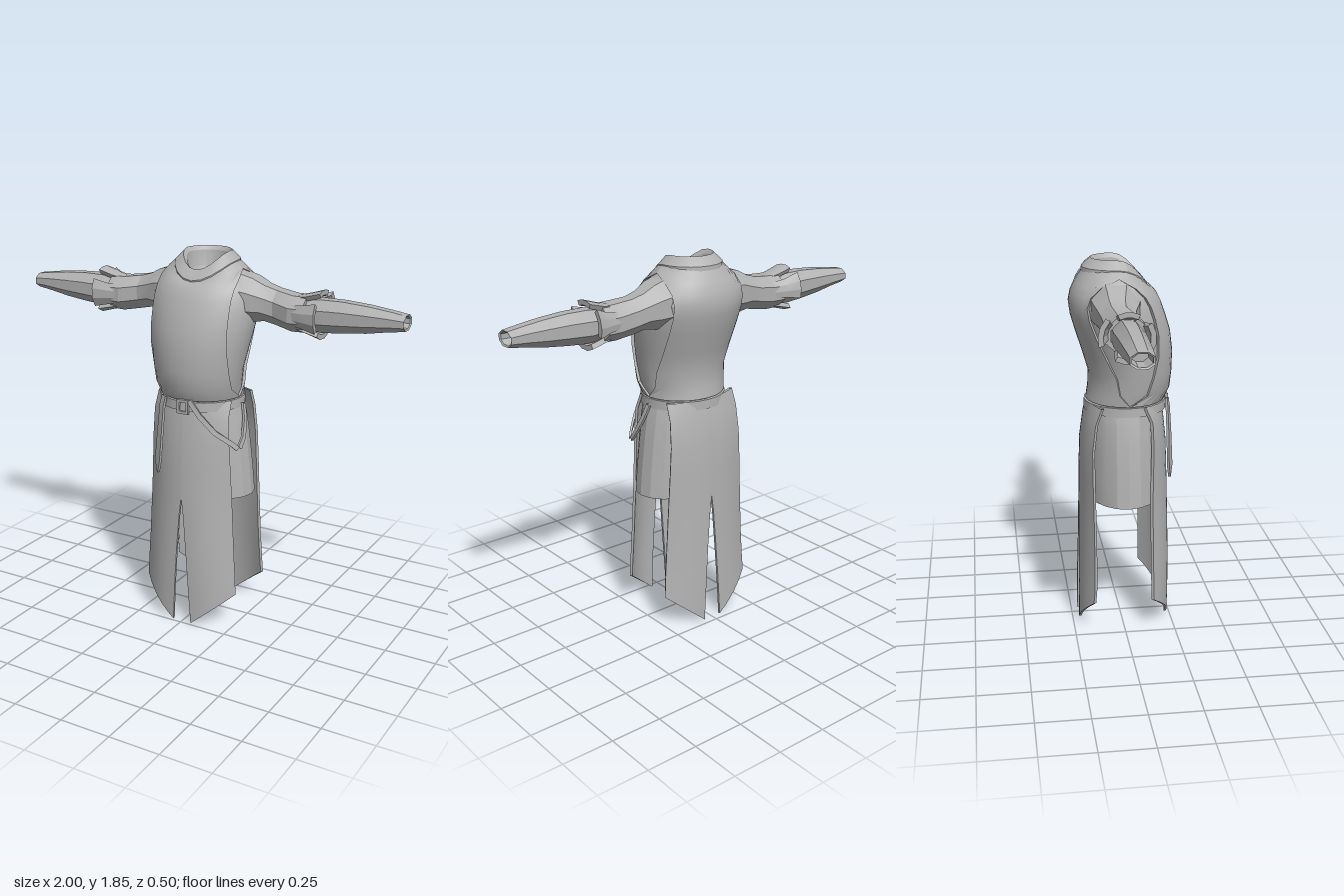
import * as THREE from 'three';
import { toCreasedNormals } from 'three/addons/utils/BufferGeometryUtils.js';

const cloth = new THREE.MeshStandardMaterial({ color: 0xb2b2b2, side: THREE.DoubleSide });
cloth.name = 'grey cloth';
const V = (x, y, z) => new THREE.Vector3(x, y, z);
const lerp = THREE.MathUtils.lerp;

// Skin a list of closed rings that all have the same number of points
function loft(name, rings, crease = 0.5) {
  const n = rings[0].length, pos = [], idx = [];
  rings.forEach(r => r.forEach(p => pos.push(p.x, p.y, p.z)));
  for (let i = 0; i < rings.length - 1; i++) {
    for (let j = 0; j < n; j++) {
      const a = i * n + j, b = i * n + (j + 1) % n;
      idx.push(a, b, b + n, a, b + n, a + n);
    }
  }
  const g = new THREE.BufferGeometry();
  g.setAttribute('position', new THREE.Float32BufferAttribute(pos, 3));
  g.setIndex(idx);
  const mesh = new THREE.Mesh(toCreasedNormals(g, crease), cloth);
  mesh.name = name;
  return mesh;
}

// Point on a horizontal section [y, halfWidth, zFront, zBack, frontDip]
function onSection([y, w, zf, zb, dip = 0], t, off = 0) {
  const c = Math.cos(t);
  return V((w + off) * Math.sin(t), y - dip * Math.max(0, c) ** 2,
    (zf + zb) / 2 + ((zf - zb) / 2 + off) * c);
}
const sectionRing = (s, n, off = 0) =>
  Array.from({ length: n }, (_, i) => onSection(s, i / n * Math.PI * 2, off));

// Flat strap along a path, its face turned away from the body's axis
function strap(name, path, widths, thick = 0.012) {
  return loft(name, path.map((p, i) => {
    const tan = path[Math.min(i + 1, path.length - 1)].clone().sub(path[Math.max(i - 1, 0)]).normalize();
    const out = V(p.x, 0, p.z).normalize();
    const side = tan.cross(out).normalize();
    const w = (widths[i] ?? widths[0]) / 2;
    return [[-w, 0], [w, 0], [w, thick], [-w, thick]].map(([a, b]) =>
      p.clone().addScaledVector(side, a).addScaledVector(out, b));
  }));
}

const torso = [
  [1.165, 0.2, 0.21, -0.16], [1.22, 0.212, 0.235, -0.15], [1.3, 0.222, 0.243, -0.146],
  [1.4, 0.243, 0.245, -0.175], [1.5, 0.262, 0.232, -0.207], [1.58, 0.272, 0.207, -0.23],
  [1.64, 0.272, 0.185, -0.238], [1.69, 0.255, 0.165, -0.228, 0.01], [1.735, 0.222, 0.148, -0.208, 0.035],
  [1.77, 0.182, 0.135, -0.185, 0.06], [1.8, 0.148, 0.12, -0.165, 0.085],
];

// Front or back half of the tabard: a thin shell wrapped on the torso
function tabard(name, centre) {
  return loft(name, torso.map(s => {
    const a = s[1] <= 0.2 ? Math.PI / 2 : Math.asin(0.2 / s[1]);
    const row = off => Array.from({ length: 13 }, (_, i) => onSection(s, centre + lerp(-a, a, i / 12), off));
    return [...row(0.008), ...row(-0.008).reverse()];
  }), 0.6);
}

// One half of a slit skirt panel; rows are [y, zCentre, zEdge]
function skirtPanel(name, rows, sx, sz) {
  const n = 6;
  const rings = rows.map(([y, zc, ze], k) => {
    const hem = k === rows.length - 1;
    const row = off => Array.from({ length: n + 1 }, (_, i) => {
      const u = i / n;
      const slit = y < 0.67 ? 0.05 * Math.pow((0.67 - y) / 0.67, 0.75) : 0;
      const side = lerp(0.255, 0.203, Math.min(1, Math.max(0, (y - 0.15) / 0.98)));
      const x = lerp(slit, side, u) - off * 0.6 * u;
      const yy = hem ? lerp(0, 0.17, u) : y + (y < 0.3 ? u * 0.04 : 0);
      return V(sx * x, yy, sz * (zc - (zc - ze) * Math.pow(u, 2.2) - off));
    });
    return [...row(0), ...row(0.012).reverse()];
  });
  // close the hem
  const last = rings[rings.length - 1], m = last.length;
  rings.push(last.map((p, i) => p.clone().add(last[m - 1 - i]).multiplyScalar(0.5)));
  return loft(name, rings, 0.6);
}

// Ring across the arm: [x, y, z, radiusY, radiusZ]
const armPoint = ([x, y, z, ry, rz], t, off = 0) =>
  V(x, y + (ry + off) * Math.cos(t), z + (rz + off) * Math.sin(t));
const armRing = (s, n, off = 0) =>
  Array.from({ length: n }, (_, i) => armPoint(s, (i + 0.5) / n * Math.PI * 2, off));

function createArm() {
  const arm = new THREE.Group();
  const sleeve = [
    [0.17, 1.64, -0.04, 0.125, 0.13], [0.25, 1.63, -0.045, 0.112, 0.115], [0.31, 1.62, -0.05, 0.09, 0.095],
    [0.37, 1.605, -0.05, 0.088, 0.085], [0.46, 1.592, -0.033, 0.09, 0.1], [0.53, 1.592, -0.035, 0.088, 0.1],
  ];
  arm.add(loft('upperSleeve', [...sleeve.map(s => armRing(s, 8)), armRing(sleeve[5], 8, -0.025)], 0.3));

  // Flared cuff flaps round the elbow: [centre angle, half spread, tip radius]
  [[0, 0.45, 0.115], [1.6, 0.62, 0.12], [3.1, 0.6, 0.115], [4.95, 0.5, 0.135]].forEach(([c, spread, tip]) => {
    const rows = [[0.46, 1.594, -0.035, 0.078, 0.09], [0.53, 1.594, -0.035, 0.094, 0.108],
      [0.6, 1.595, -0.035, tip, tip]];
    const rings = rows.map(s => {
      const row = off => Array.from({ length: 4 }, (_, i) => armPoint(s, c + lerp(-spread, spread, i / 3), off));
      return [...row(0), ...row(-0.024).reverse()];
    });
    const last = rings[2];
    rings.push(last.map((p, i) => p.clone().add(last[7 - i]).multiplyScalar(0.5)));
    arm.add(loft('cuffFlap', rings, 0.3));
  });

  const forearm = [
    [0.48, 1.592, -0.035, 0.068, 0.068], [0.6, 1.593, -0.035, 0.082, 0.074], [0.7, 1.597, -0.035, 0.078, 0.07],
    [0.82, 1.6, -0.035, 0.066, 0.065], [0.92, 1.603, -0.035, 0.05, 0.06], [1, 1.603, -0.035, 0.038, 0.056],
  ];
  arm.add(loft('forearmSleeve', [...forearm.map(s => armRing(s, 8)),
    armRing([0.995, 1.603, -0.035, 0.03, 0.046], 8), armRing([0.9, 1.603, -0.035, 0.03, 0.04], 8),
    armRing([0.9, 1.603, -0.035, 0, 0], 8)], 0.45));
  return arm;
}

export function createModel() {
  const model = new THREE.Group();
  model.name = 'tunic';

  // Torso, tabard and collar
  model.add(loft('torso', torso.map(s => sectionRing(s, 28, -0.005)), 0.3));
  model.add(tabard('tabardFront', 0), tabard('tabardBack', Math.PI));
  const collar = [
    [1.785, 0.158, 0.13, -0.185, 0.085], [1.805, 0.156, 0.132, -0.183, 0.085], [1.825, 0.135, 0.112, -0.165, 0.08],
    [1.845, 0.115, 0.09, -0.14, 0.08], [1.825, 0.1, 0.072, -0.125, 0.075], [1.75, 0.09, 0.055, -0.115, 0.04],
    [1.69, 0.06, 0.03, -0.09], [1.67, 0, -0.03, -0.03],
  ];
  model.add(loft('collar', collar.map(s => sectionRing(s, 20)), 0.4));

  // Arms
  [1, -1].forEach(s => {
    const arm = createArm();
    arm.name = s > 0 ? 'leftArm' : 'rightArm';
    arm.scale.x = s;
    model.add(arm);
  });

  // Short underskirt and the long split panels over it
  const under = [[1.17, 0.198, 0.19, -0.15], [1.08, 0.222, 0.19, -0.16], [0.95, 0.242, 0.195, -0.165],
    [0.8, 0.26, 0.2, -0.17], [0.672, 0.272, 0.2, -0.172], [0.672, 0.262, 0.19, -0.162], [0.95, 0.232, 0.185, -0.155]];
  model.add(loft('underskirt', under.map(s => sectionRing(s, 20)), 0.35));
  const front = [[1.16, 0.2, 0.1], [1.08, 0.212, 0.135], [0.95, 0.226, 0.14], [0.8, 0.232, 0.137], [0.67, 0.236, 0.135],
    [0.58, 0.237, 0.136], [0.4, 0.24, 0.138], [0.2, 0.24, 0.14], [0, 0.236, 0.142]];
  const back = [[1.16, 0.16, 0.11], [1.08, 0.18, 0.14], [0.95, 0.198, 0.156], [0.8, 0.203, 0.156], [0.67, 0.205, 0.154],
    [0.58, 0.207, 0.153], [0.4, 0.21, 0.152], [0.2, 0.215, 0.154], [0, 0.218, 0.16]];
  [1, -1].forEach(s => {
    model.add(skirtPanel('frontSkirtPanel', front, s, 1), skirtPanel('backSkirtPanel', back, s, -1));
  });

  // Belt, buckle and hanging straps
  const beltRing = (y, off) => sectionRing([y, 0.203, 0.215, -0.168], 24, off);
  model.add(loft('belt', [beltRing(1.115, -0.01), beltRing(1.115, 0.01), beltRing(1.16, 0.008),
    beltRing(1.16, -0.01), beltRing(1.115, -0.01)]));
  const frame = new THREE.Shape([[-0.03, -0.035], [0.03, -0.035], [0.03, 0.035], [-0.03, 0.035]]
    .map(p => new THREE.Vector2(...p)));
  frame.holes.push(new THREE.Path([[-0.018, -0.022], [-0.018, 0.022], [0.018, 0.022], [0.018, -0.022]]
    .map(p => new THREE.Vector2(...p))));
  const buckle = new THREE.Mesh(new THREE.ExtrudeGeometry(frame, { depth: 0.014, bevelEnabled: false }), cloth);
  buckle.name = 'buckle';
  buckle.position.set(0.01, 1.137, 0.222);
  model.add(buckle);
  model.add(strap('beltTail', [V(-0.095, 1.175, 0.212), V(-0.105, 1.13, 0.216), V(-0.115, 1.0, 0.222),
    V(-0.128, 0.84, 0.226), V(-0.128, 0.78, 0.226)], [0.03, 0.032, 0.038, 0.045, 0.006]));
  model.add(strap('frontHangingLoop', [V(0.04, 1.17, 0.218), V(0.09, 1.1, 0.212), V(0.16, 1.02, 0.19),
    V(0.225, 0.96, 0.14), V(0.243, 0.935, 0.12)], [0.024]));
  model.add(strap('sideHangingLoop', [V(0.212, 1.13, 0.01), V(0.232, 1.06, 0.03), V(0.247, 0.98, 0.07),
    V(0.245, 0.935, 0.105)], [0.024]));
  return model;
}
